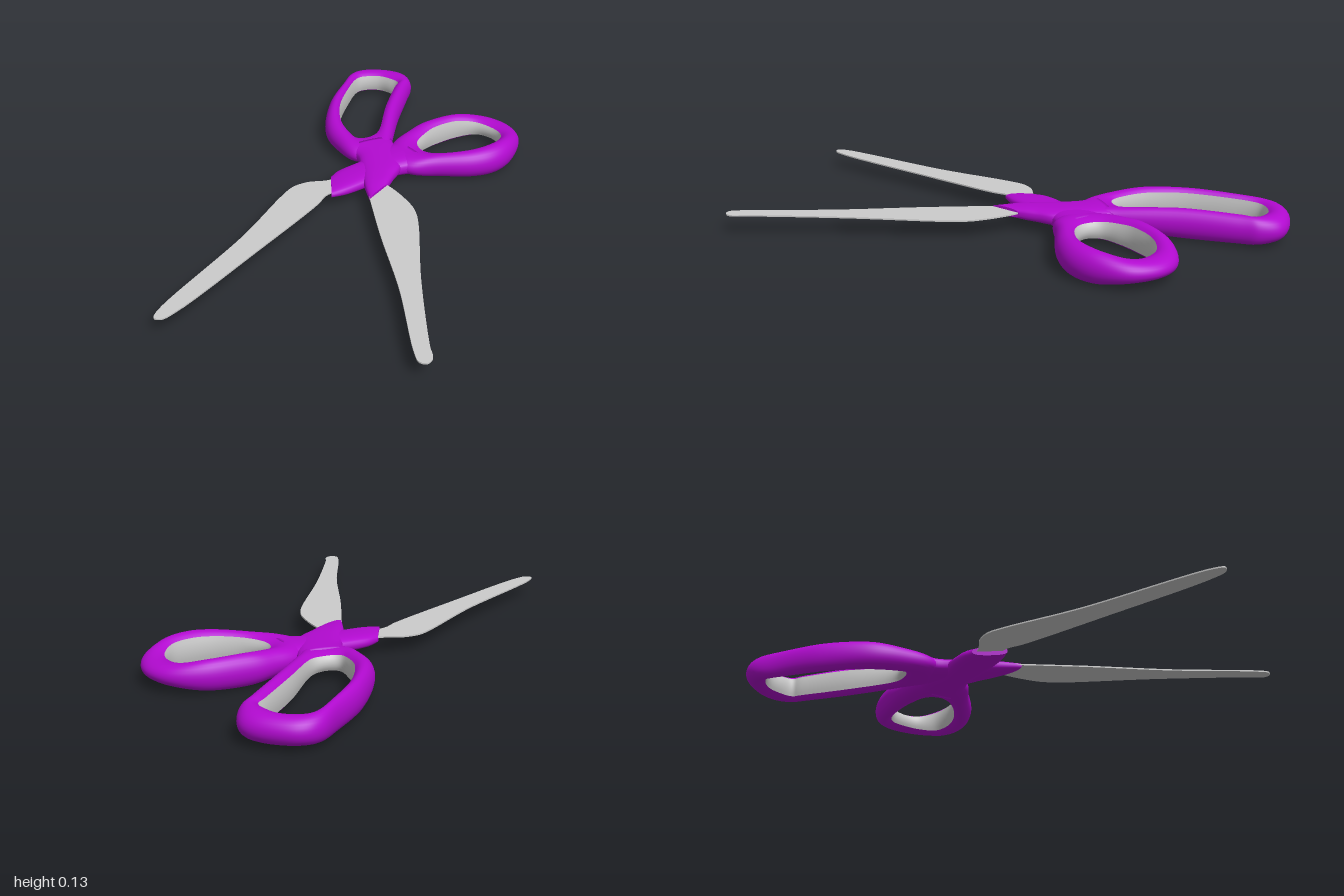
import * as THREE from 'three';

const purple = new THREE.MeshStandardMaterial({ color: 0xb20ad0 });
const grey = new THREE.MeshStandardMaterial({ color: 0xcccccc });
const steel = new THREE.MeshStandardMaterial({ color: 0xcccccc, side: THREE.DoubleSide });

// Skin a grid of points: rows along the path, columns around the section
function skin(rows, closeRows, closeCols) {
  const n = rows.length, m = rows[0].length, index = [];
  for (let i = 0; i < (closeRows ? n : n - 1); i++) {
    for (let j = 0; j < (closeCols ? m : m - 1); j++) {
      const i2 = (i + 1) % n, j2 = (j + 1) % m;
      const a = i * m + j, b = i * m + j2, c = i2 * m + j2, d = i2 * m + j;
      index.push(a, b, c, a, c, d);
    }
  }
  const geo = new THREE.BufferGeometry();
  geo.setAttribute('position', new THREE.Float32BufferAttribute(rows.flat(2), 3));
  geo.setIndex(index);
  geo.computeVertexNormals();
  return geo;
}

function mesh(name, geo, mat) {
  const m = new THREE.Mesh(geo, mat);
  m.name = name;
  return m;
}

// Finger loop: points are [outer x, outer z, hole x, hole z, half height]
function fingerLoop(name, y, pts) {
  const outer = new THREE.CatmullRomCurve3(pts.map(p => new THREE.Vector3(p[0], p[4], p[1])), true, 'catmullrom');
  const inner = new THREE.CatmullRomCurve3(pts.map(p => new THREE.Vector3(p[2], p[4], p[3])), true, 'catmullrom');
  const N = 120, M = 20, A = Math.acos(-2 / 3);
  const shell = [], lining = [];
  for (let i = 0; i < N; i++) {
    const o = outer.getPoint(i / N), q = inner.getPoint(i / N), h = o.y;
    const at = (u, v) => [q.x + (o.x - q.x) * u, y + v * h, q.z + (o.z - q.z) * u];
    const s = [], l = [];
    for (let j = 0; j <= M; j++) {
      const a = -A + (2 * A * j) / M;
      s.push(at(0.4 + 0.6 * Math.cos(a), Math.sin(a)));
    }
    for (let j = 0; j <= 6; j++) {
      const t = 1 - j / 3;
      l.push(at(-0.08 * (1 - t * t), t * Math.sin(A)));
    }
    shell.push(s);
    lining.push(l);
  }
  const g = new THREE.Group();
  g.name = name;
  g.add(mesh(name + 'Shell', skin(shell, true, false), purple));
  g.add(mesh(name + 'Lining', skin(lining, true, false), grey));
  return g;
}

// Neck holding a blade: stations are [left x, left z, right x, right z, half height]
function neck(name, y, stations) {
  const L = new THREE.CatmullRomCurve3(stations.map(s => new THREE.Vector3(s[0], s[4], s[1])), false, 'catmullrom');
  const R = new THREE.CatmullRomCurve3(stations.map(s => new THREE.Vector3(s[2], s[4], s[3])), false, 'catmullrom');
  const pw = v => Math.sign(v) * Math.abs(v) ** 0.75;
  const N = 30, M = 28;
  const section = (t, k) => {
    const l = L.getPoint(t), r = R.getPoint(t);
    return Array.from({ length: M }, (_, j) => {
      const a = (j / M) * Math.PI * 2, u = 0.5 + 0.5 * k * pw(Math.cos(a));
      return [l.x + (r.x - l.x) * u, y + k * l.y * pw(Math.sin(a)), l.z + (r.z - l.z) * u];
    });
  };
  const rows = [section(0, 0)];
  for (let i = 0; i <= N; i++) rows.push(section(i / N, 1));
  rows.push(section(1, 1), section(1, 0)); // doubled row keeps the end edge sharp
  return mesh(name, skin(rows, false, true), purple);
}

// Thin flat blade from an outline of [x, z] points
function blade(name, y, pts) {
  const curve = new THREE.CatmullRomCurve3(pts.map(p => new THREE.Vector3(p[0], p[1], 0)), true);
  const shape = new THREE.Shape(curve.getPoints(140).slice(0, -1).map(p => new THREE.Vector2(p.x, p.y)));
  const geo = new THREE.ExtrudeGeometry(shape, { depth: 0.006, bevelEnabled: false });
  geo.rotateX(Math.PI / 2);
  geo.translate(0, y + 0.003, 0);
  return mesh(name, geo, steel);
}

export function createModel() {
  const group = new THREE.Group();
  group.name = 'scissors';

  // Round thumb loop
  group.add(fingerLoop('thumbLoop', 0.066, [
    [-0.14, -1, -0.14, -0.905, 0.037], [-0.02, -0.965, -0.07, -0.895, 0.043],
    [0.06, -0.86, -0.015, -0.84, 0.06], [0.087, -0.745, 0, -0.755, 0.065],
    [0.055, -0.63, -0.015, -0.67, 0.061], [-0.035, -0.495, -0.06, -0.585, 0.053],
    [-0.1, -0.395, -0.115, -0.53, 0.046], [-0.2, -0.36, -0.17, -0.515, 0.043],
    [-0.3, -0.45, -0.225, -0.54, 0.047], [-0.335, -0.565, -0.255, -0.605, 0.055],
    [-0.345, -0.67, -0.27, -0.685, 0.062], [-0.32, -0.84, -0.26, -0.795, 0.058],
    [-0.25, -0.955, -0.215, -0.875, 0.043],
  ]));

  // Long finger loop
  group.add(fingerLoop('longLoop', 0.068, [
    [-0.79, -0.923, -0.785, -0.823, 0.053], [-0.71, -0.897, -0.727, -0.828, 0.055],
    [-0.65, -0.83, -0.69, -0.78, 0.058], [-0.5, -0.653, -0.558, -0.622, 0.06],
    [-0.335, -0.485, -0.42, -0.48, 0.046], [-0.245, -0.395, -0.394, -0.41, 0.04],
    [-0.315, -0.272, -0.415, -0.352, 0.042], [-0.458, -0.267, -0.474, -0.347, 0.05],
    [-0.605, -0.31, -0.58, -0.378, 0.059], [-0.765, -0.447, -0.706, -0.468, 0.061],
    [-0.88, -0.605, -0.823, -0.606, 0.057], [-0.95, -0.71, -0.88, -0.695, 0.052],
    [-0.945, -0.8, -0.875, -0.75, 0.05], [-0.87, -0.885, -0.838, -0.8, 0.051],
  ]));

  // Crossing necks
  group.add(neck('thumbNeck', 0.065, [
    [-0.3, -0.475, -0.07, -0.475, 0.045], [-0.295, -0.395, -0.11, -0.385, 0.041],
    [-0.27, -0.315, -0.125, -0.315, 0.036], [-0.27, -0.235, -0.115, -0.21, 0.031],
    [-0.268, -0.14, -0.115, -0.08, 0.026], [-0.25, -0.085, -0.13, -0.003, 0.018],
  ]));
  group.add(neck('longNeck', 0.072, [
    [-0.38, -0.27, -0.33, -0.48, 0.04], [-0.305, -0.27, -0.245, -0.44, 0.038],
    [-0.225, -0.225, -0.135, -0.38, 0.034], [-0.15, -0.18, -0.085, -0.3, 0.03],
    [-0.085, -0.145, -0.06, -0.26, 0.026], [0, -0.105, -0.045, -0.235, 0.018],
  ]));

  // Blades with their roots inside the necks
  group.add(blade('thumbBlade', 0.068, [
    [-0.235, -0.15], [-0.235, -0.065], [-0.275, 0.02], [-0.28, 0.09], [-0.25, 0.165],
    [-0.09, 0.46], [0.135, 0.965], [0.165, 0.995], [0.185, 0.975], [0.175, 0.9],
    [0.03, 0.47], [-0.11, 0.08], [-0.145, 0.01], [-0.15, -0.15],
  ]));
  group.add(blade('longBlade', 0.076, [
    [-0.12, -0.2], [-0.045, -0.23], [0.135, -0.215], [0.2, -0.19], [0.27, -0.145],
    [0.56, 0.08], [0.875, 0.3], [0.94, 0.34], [0.947, 0.37], [0.925, 0.388],
    [0.875, 0.37], [0.56, 0.185], [0.24, 0.025], [0, -0.105], [-0.1, -0.16],
  ]));
  return group;
}
